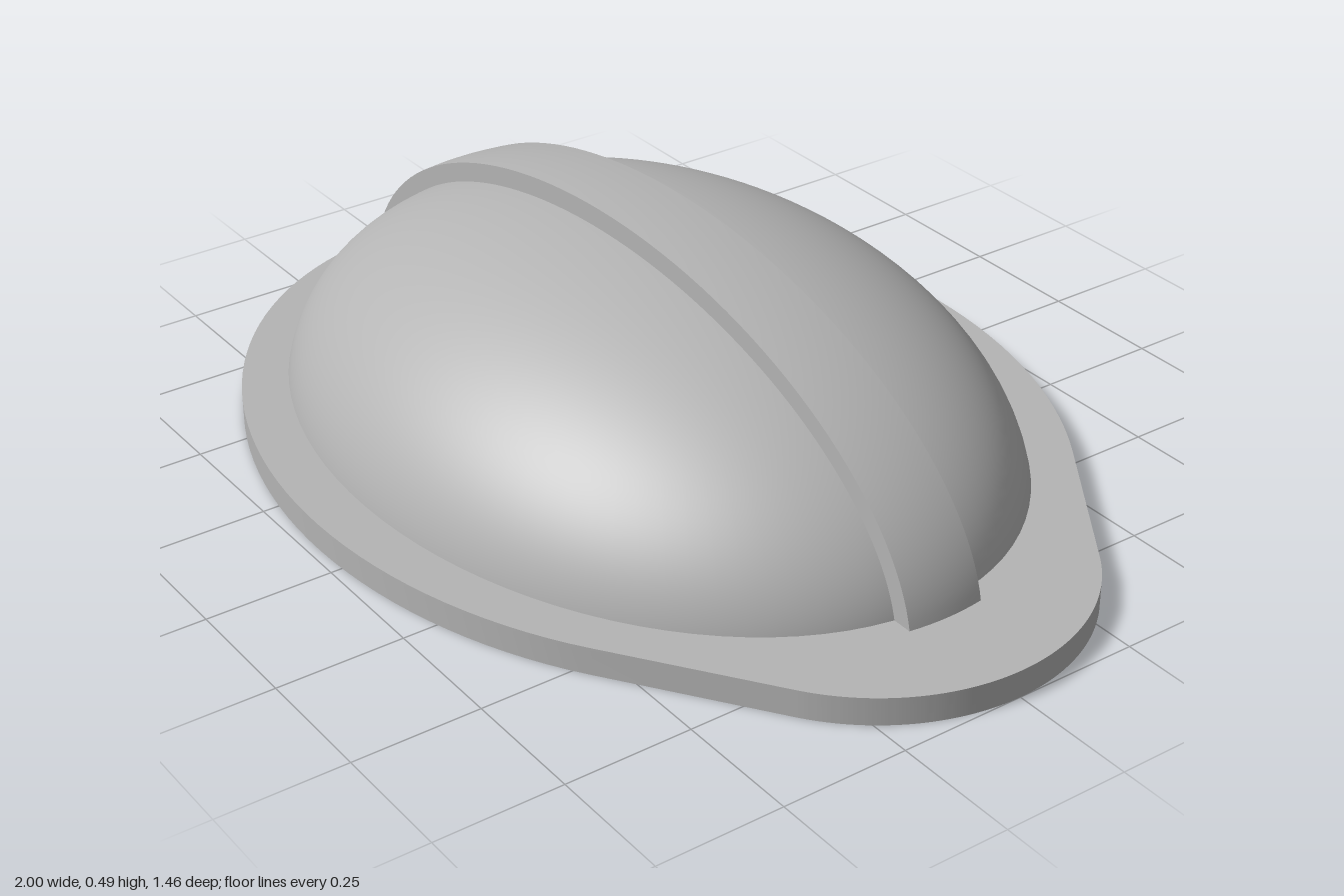
import * as THREE from 'three';
import { toCreasedNormals } from 'three/addons/utils/BufferGeometryUtils.js';

const CX = -0.08;                       // centre of the oval body
const POCKET = { w: 1.384, d: 0.54 };   // battery-style pocket underneath
const HOLES = [[0.2, -0.355], [-0.71, 0.355]]; // x, z of the blind round holes
const HOLE_R = 0.08, HOLE_TOP = 0.05, BASE_TOP = 0.055, POCKET_TOP = 0.1;

// Oval outline joined by straight tangents to a rounded brim at +x
function baseShape(roundHoles) {
  const s = new THREE.Shape();
  s.absarc(0.583, 0, 0.417, -0.958, 0.958, false);
  s.absellipse(CX, 0, 0.92, 0.73, 0.846, Math.PI * 2 - 0.846, false, 0);
  s.closePath();

  const hw = POCKET.w / 2, hd = POCKET.d / 2;
  const rect = new THREE.Path();
  rect.moveTo(CX - hw, -hd);
  rect.lineTo(CX - hw, hd);
  rect.lineTo(CX + hw, hd);
  rect.lineTo(CX + hw, -hd);
  rect.closePath();
  s.holes.push(rect);

  if (roundHoles) {
    for (const [x, z] of HOLES) {
      s.holes.push(new THREE.Path().absarc(x, -z, HOLE_R, 0, Math.PI * 2, true));
    }
  }
  return s;
}

function slab(shape, y0, y1) {
  const g = new THREE.ExtrudeGeometry(shape, { depth: y1 - y0, bevelEnabled: false, curveSegments: 48 });
  g.rotateX(-Math.PI / 2).translate(0, y0, 0);
  return toCreasedNormals(g, 0.5);
}

// Raised strap: a slice of a slightly larger ellipsoid, hollow inside
function strapGeometry() {
  const half = 0.08, y0 = 0.05, n = 64;
  const s = new THREE.Shape();
  const arc = (rx, ry, reverse) => {
    const a = Math.asin(y0 / ry), pts = [];
    for (let i = 0; i <= n; i++) {
      const t = a + (Math.PI - 2 * a) * (i / n);
      pts.push(new THREE.Vector2(rx * Math.cos(t), ry * Math.sin(t)));
    }
    return reverse ? pts.reverse() : pts;
  };
  s.setFromPoints([...arc(0.896, 0.485, false), ...arc(0.83, 0.425, true)]);
  const g = new THREE.ExtrudeGeometry(s, { depth: half * 2, steps: 8, bevelEnabled: false });
  g.translate(0, 0, -half);
  const p = g.attributes.position;
  for (let i = 0; i < p.count; i++) {
    const k = Math.sqrt(1 - (p.getZ(i) / 0.675) ** 2);
    p.setXY(i, p.getX(i) * k, p.getY(i) * k);
  }
  g.translate(CX, 0, 0);
  return toCreasedNormals(g, 0.5);
}

// Inside-out box without its bottom face
function pocketGeometry() {
  const h = POCKET_TOP - BASE_TOP;
  let g = new THREE.BoxGeometry(POCKET.w, h, POCKET.d);
  const idx = Array.from(g.index.array);
  idx.splice(18, 6);
  g.setIndex(idx.reverse());
  g.clearGroups();
  g = g.toNonIndexed();
  g.computeVertexNormals();
  return g.translate(CX, BASE_TOP + h / 2, 0);
}

export function createModel() {
  const model = new THREE.Group();
  const grey = new THREE.MeshStandardMaterial({ color: 0xb4b4b4 });
  grey.name = 'plain grey';

  const add = (name, geometry) => {
    const mesh = new THREE.Mesh(geometry, grey);
    mesh.name = name;
    model.add(mesh);
  };

  // Base plate: drilled lower layer and a thin top skin closing the round holes
  add('basePlate', slab(baseShape(true), 0, HOLE_TOP));
  add('basePlateTop', slab(baseShape(false), HOLE_TOP, BASE_TOP));

  // Domed shell
  const dome = new THREE.SphereGeometry(1, 96, 40, 0, Math.PI * 2, 0, Math.acos(0.05 / 0.445));
  dome.scale(0.857, 0.445, 0.635).translate(CX, 0, 0);
  add('dome', dome);

  add('strap', strapGeometry());
  add('undersidePocket', pocketGeometry());
  return model;
}
